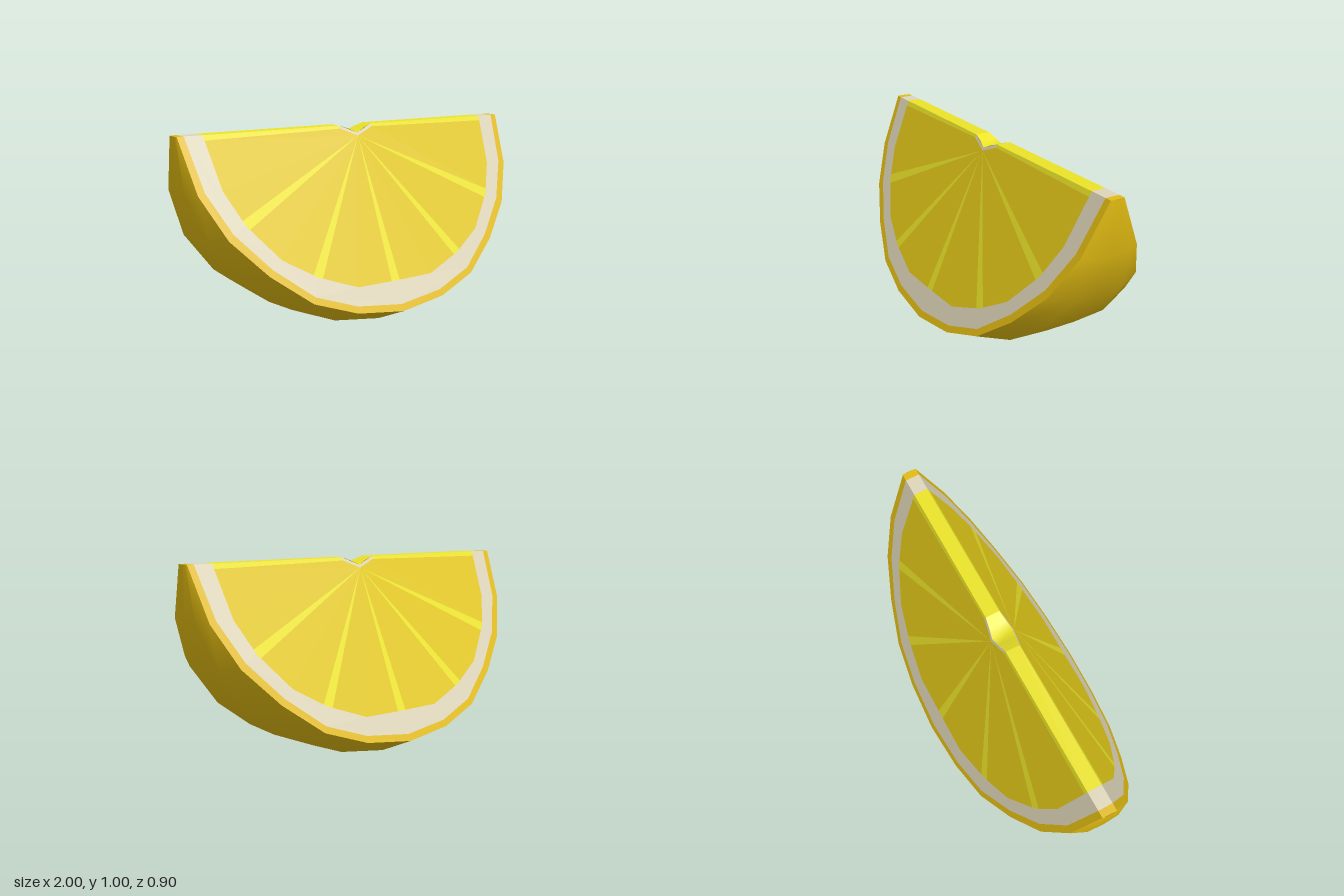
import * as THREE from 'three';

// Half profiles on the cut face, from the +x tip down to the bottom middle
const OUTER = [[1, 1], [0.995, 0.741], [0.904, 0.5], [0.727, 0.285], [0.508, 0.132], [0.267, 0.036], [0, 0]];
const EDGE = [[0.995, 1], [0.957, 0.74], [0.857, 0.536], [0.695, 0.364], [0.497, 0.215], [0.267, 0.137], [0, 0.105]];
const PITH = [[0.96, 1], [0.92, 0.75], [0.825, 0.56], [0.668, 0.388], [0.48, 0.243], [0.26, 0.168], [0, 0.138]];
const PULP = [[0.865, 1], [0.83, 0.75], [0.755, 0.592], [0.612, 0.425], [0.44, 0.325], [0.23, 0.25], [0, 0.248]];

const CORE = [0, 0.945];
const full = half => [...half, ...half.slice(0, -1).reverse().map(([x, y]) => [-x, y])];
const cutZ = y => 0.037 + (1 - y) * 0.463; // slope of the cut plane

export function createModel() {
  const mat = color => new THREE.MeshStandardMaterial({ color, side: THREE.DoubleSide });
  const rind = mat(0xe2bc12), pith = mat(0xded6ba), pulp = mat(0xe2c818), skin = mat(0xece428);
  const model = new THREE.Group();
  model.name = 'citrusWedge';

  const add = (parent, geometry, material, name) => {
    const mesh = new THREE.Mesh(geometry, material);
    mesh.name = name;
    parent.add(mesh);
  };

  // Flat polygon laid onto the sloping cut plane
  const onCut = points => {
    const g = new THREE.ShapeGeometry(new THREE.Shape(points.map(p => new THREE.Vector2(...p))));
    const pos = g.attributes.position;
    for (let i = 0; i < pos.count; i++) pos.setZ(i, cutZ(pos.getY(i)));
    g.computeVertexNormals();
    return g;
  };
  const band = (a, b) => onCut([...full(a), ...full(b).reverse()]);

  // Surface through rows of equally many points
  const loft = rows => {
    const n = rows[0].length, index = [];
    for (let i = 0; i < rows.length - 1; i++) {
      for (let j = 0; j < n - 1; j++) {
        const a = i * n + j, b = a + n;
        index.push(a, b, a + 1, b, b + 1, a + 1);
      }
    }
    const g = new THREE.BufferGeometry();
    g.setAttribute('position', new THREE.Float32BufferAttribute(rows.flat(2), 3));
    g.setIndex(index);
    g.computeVertexNormals();
    return g;
  };

  // Curved outer peel
  const outer = full(OUTER), edge = full(EDGE);
  add(model, loft(edge.map(([ex, ey], i) => {
    const [ox, oy] = outer[i], z = cutZ(ey);
    const mx = ex + (ox - ex) * 0.86, my = ey + (oy - ey) * 0.86;
    return [[ex, ey, z], [mx, my, z * 0.54], [ox, oy, 0], [mx, my, -z * 0.54], [ex, ey, -z]];
  })), rind, 'peel');

  // Narrow top surface with the notch at the core
  const strip = points => loft(points.map(([x, y]) => [[x, y, cutZ(y)], [x, y, -cutZ(y)]]));
  for (const s of [-1, 1]) {
    const run = (...xs) => strip(xs.map(x => [s * x, 1]).sort((a, b) => a[0] - b[0]));
    add(model, run(0.1, 0.865), skin, 'topMembrane');
    add(model, run(0.865, 0.96), pith, 'topPith');
    add(model, run(0.96, 0.998), rind, 'topPeel');
  }
  add(model, strip([[-0.1, 1], [-0.05, 0.983], [0, 0.96], [0.05, 0.983], [0.1, 1]]), skin, 'coreNotch');

  // Two matching cut faces
  const ring = full(PULP);
  const toward = (i, k, w) => { // step of length w from ring point i to ring point k
    const [ax, ay] = ring[i], [bx, by] = ring[k], t = w / Math.hypot(bx - ax, by - ay);
    return [ax + (bx - ax) * t, ay + (by - ay) * t];
  };
  for (const [name, turn] of [['frontCut', 0], ['backCut', Math.PI]]) {
    const face = new THREE.Group();
    face.name = name;
    face.rotation.y = turn;
    model.add(face);
    add(face, band(EDGE, PITH), rind, 'peelEdge');
    add(face, band(PITH, PULP), pith, 'pithRing');
    add(face, onCut([[-0.1, 1], [0, 0.96], [0.1, 1], [0.1, 0.985], CORE, [-0.1, 0.985]]), pith, 'coreLip');

    // Six pulp segments
    for (let i = 0; i < 12; i += 2) {
      const points = [toward(i, i + 1, 0.025), ring[i + 1], toward(i + 2, i + 1, 0.025), CORE];
      if (i === 0) points.push([0.1, 0.985]);
      if (i === 10) points.splice(3, 0, [-0.1, 0.985]);
      add(face, onCut(points), pulp, 'pulpSegment');
    }
    // Tapering membranes between the segments and along the top
    for (let i = 2; i < 12; i += 2) {
      add(face, onCut([CORE, toward(i, i - 1, 0.025), ring[i], toward(i, i + 1, 0.025)]), skin, 'membrane');
    }
    for (const [s, i, k] of [[1, 0, 1], [-1, 12, 11]]) {
      add(face, onCut([[s * 0.1, 1], [s * 0.1, 0.985], toward(i, k, 0.025), ring[i]]), skin, 'edgeMembrane');
    }
  }
  return model;
}
